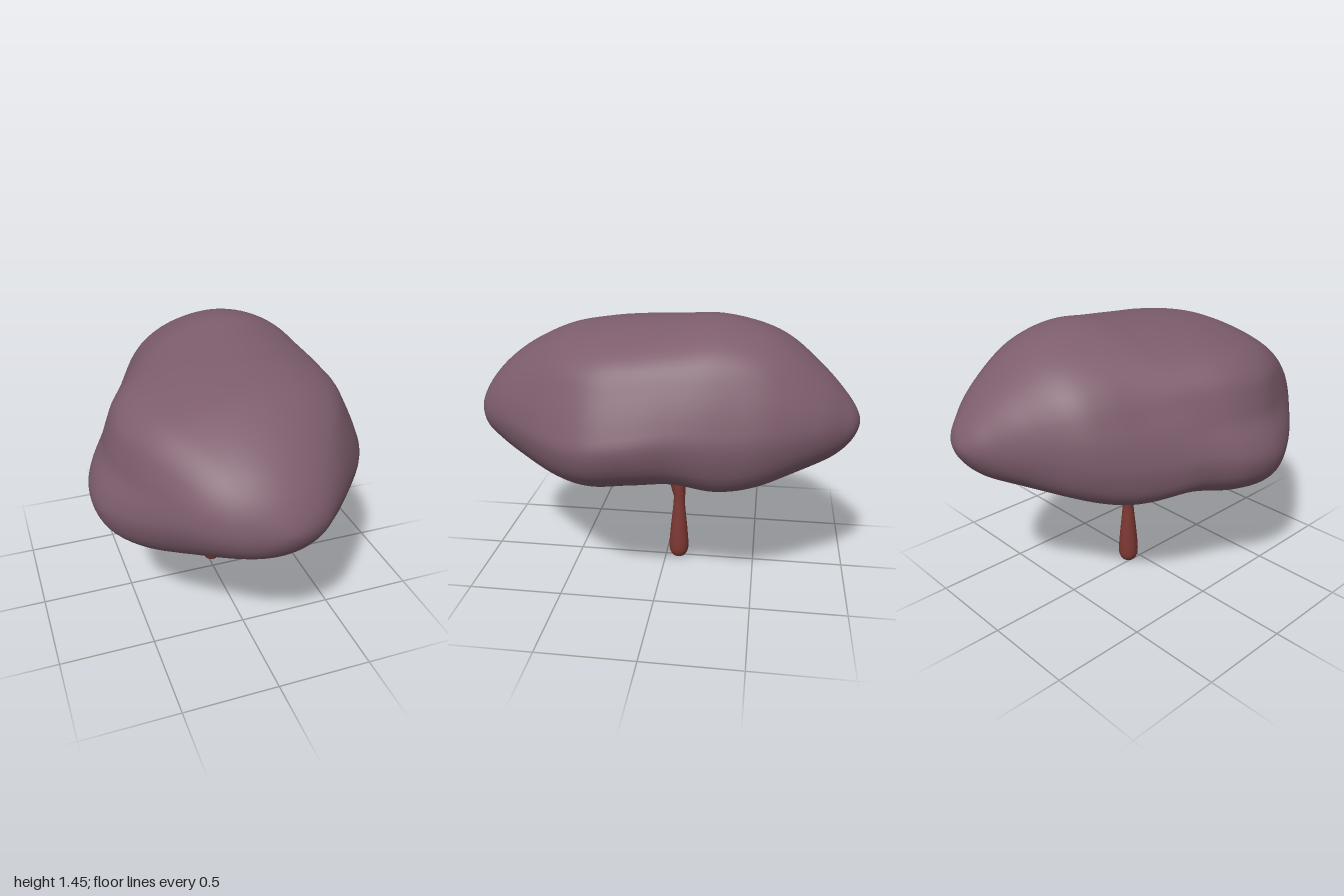
import * as THREE from 'three';
import { mergeVertices } from 'three/addons/utils/BufferGeometryUtils.js';

const { lerp, smoothstep } = THREE.MathUtils;
const leafMaterial = new THREE.MeshStandardMaterial({ color: 0x7d5d6c });
const barkMaterial = new THREE.MeshStandardMaterial({ color: 0x7c3832 });

// Canopy stations from back to front: z, left edge x, right edge x, bottom y, top y
const STATIONS = [
  [-1.0, 0.2, 0.2, 0.95, 0.95], [-0.97, 0.1, 0.31, 0.87, 1.03], [-0.9, 0.0, 0.39, 0.79, 1.12],
  [-0.8, -0.13, 0.475, 0.73, 1.22], [-0.65, -0.31, 0.555, 0.665, 1.34], [-0.5, -0.41, 0.615, 0.625, 1.41],
  [-0.3, -0.5, 0.655, 0.605, 1.447], [-0.1, -0.6, 0.68, 0.62, 1.432], [0.1, -0.7, 0.71, 0.585, 1.415],
  [0.3, -0.715, 0.705, 0.56, 1.395], [0.5, -0.63, 0.61, 0.575, 1.355], [0.7, -0.48, 0.455, 0.63, 1.26],
  [0.85, -0.34, 0.32, 0.7, 1.15], [0.95, -0.18, 0.2, 0.78, 1.03], [1.0, 0.03, 0.03, 0.9, 0.9],
];

// Cross-sections, u across (-1..1) and v up (0..1), counter-clockwise:
// the front one has a groove on one side, the back one is full and flat underneath
const FRONT_SECTION = [
  [1, 0.38], [0.96, 0.51], [0.86, 0.69], [0.76, 0.83], [0.6, 0.92], [0.38, 0.98], [0.13, 1],
  [-0.14, 0.975], [-0.42, 0.92], [-0.65, 0.86], [-0.79, 0.76], [-0.85, 0.63], [-0.89, 0.52],
  [-0.97, 0.39], [-1, 0.27], [-0.94, 0.13], [-0.78, 0.03], [-0.55, 0], [-0.25, 0.02],
  [0, 0.045], [0.35, 0.045], [0.68, 0.09], [0.91, 0.21],
];
const BACK_SECTION = [
  [1, 0.36], [0.96, 0.52], [0.87, 0.69], [0.76, 0.83], [0.6, 0.92], [0.38, 0.98], [0.13, 1],
  [-0.14, 0.975], [-0.42, 0.91], [-0.65, 0.81], [-0.79, 0.7], [-0.88, 0.58], [-0.95, 0.47],
  [-0.99, 0.36], [-1, 0.25], [-0.95, 0.11], [-0.8, 0.025], [-0.55, 0], [-0.25, 0.015],
  [0, 0.025], [0.35, 0.01], [0.68, 0.04], [0.91, 0.15],
];

const spline = (points, closed = false) =>
  new THREE.CatmullRomCurve3(points.map((p) => new THREE.Vector3(...p)), closed, 'catmullrom', 0.5);

// Mirrored stations beyond each tip make the ends close in a round cap
const beyond = ([z, l, r, b, t]) => [z, r, l, t, b];
const PADDED = [beyond(STATIONS[1]), ...STATIONS, beyond(STATIONS.at(-2))];

function createCanopyGeometry() {
  const rows = 98, cols = 96;
  const widths = spline(PADDED.map(([z, l, r]) => [l, r, z]));
  const heights = spline(PADDED.map(([z, , , b, t]) => [b, t, z]));
  const [front, back] = [FRONT_SECTION, BACK_SECTION].map((section) => {
    const curve = spline(section.map(([u, v]) => [u, v, 0]), true);
    return Array.from({ length: cols }, (_, j) => curve.getPoint(j / cols));
  });
  const point = new THREE.Vector3();
  const positions = [], indices = [];
  for (let i = 0; i <= rows; i++) {
    const at = (1 + (i / rows) * (STATIONS.length - 1)) / (PADDED.length - 1);
    const w = widths.getPoint(at), h = heights.getPoint(at);
    const toBack = smoothstep(-w.z, -0.2, 0.35);
    // The section becomes a plain oval towards both ends
    const round = smoothstep(Math.abs(w.z), 0.35, 0.97);
    for (let j = 0; j < cols; j++) {
      point.lerpVectors(front[j], back[j], toBack);
      const a = Math.atan2((point.y - 0.42) / 0.54, point.x);
      const s = lerp(point.x, Math.cos(a), round);
      const t = lerp(point.y, 0.5 + 0.5 * Math.sin(a), round);
      positions.push(lerp(w.x, w.y, (s + 1) / 2), lerp(h.x, h.y, t), w.z);
      if (i < rows) {
        const k = i * cols + j, n = i * cols + ((j + 1) % cols);
        indices.push(k, n, k + cols, n, n + cols, k + cols);
      }
    }
  }
  const geometry = new THREE.BufferGeometry();
  geometry.setAttribute('position', new THREE.Float32BufferAttribute(positions, 3));
  geometry.setIndex(indices);
  const merged = mergeVertices(geometry, 1e-5);
  merged.computeVertexNormals();
  return merged;
}

// Tube whose radius tapers from r0 to r1
function createBranchGeometry(points, r0, r1) {
  const curve = spline(points), segments = 20, sides = 14;
  const geometry = new THREE.TubeGeometry(curve, segments, 1, sides);
  const p = geometry.attributes.position, v = new THREE.Vector3();
  for (let i = 0; i < p.count; i++) {
    const t = Math.floor(i / (sides + 1)) / segments;
    const c = curve.getPointAt(t);
    v.fromBufferAttribute(p, i).sub(c).multiplyScalar(lerp(r0, r1, t)).add(c);
    p.setXYZ(i, v.x, v.y, v.z);
  }
  geometry.computeVertexNormals();
  return geometry;
}

export function createModel() {
  const group = new THREE.Group();
  const add = (name, geometry, material) => {
    const mesh = new THREE.Mesh(geometry, material);
    mesh.name = name;
    group.add(mesh);
    return mesh;
  };

  add('canopy', createCanopyGeometry(), leafMaterial);

  // Trunk swelling near the ground
  const profile = spline([
    [0, 0, 0], [0.028, 0.008, 0], [0.047, 0.03, 0], [0.055, 0.075, 0], [0.048, 0.18, 0],
    [0.037, 0.29, 0], [0.031, 0.37, 0], [0.034, 0.46, 0], [0.033, 0.53, 0], [0.036, 0.66, 0],
  ]).getPoints(45).map((p) => new THREE.Vector2(Math.max(p.x, 0), Math.max(p.y, 0)));
  add('trunk', new THREE.LatheGeometry(profile, 20), barkMaterial).position.set(0.015, 0, -0.075);

  // Branches reaching to the right, the front and the back
  const branches = {
    rightBranch: [[0.015, 0.39, -0.075], [-0.02, 0.48, -0.08], [-0.12, 0.535, -0.1], [-0.28, 0.62, -0.13]],
    frontBranch: [[0.015, 0.4, -0.075], [0.018, 0.485, -0.04], [0.035, 0.54, 0.07], [0.1, 0.63, 0.28]],
    backBranch: [[0.015, 0.48, -0.075], [0.015, 0.56, -0.09], [0.017, 0.595, -0.16], [0.02, 0.645, -0.32]],
  };
  for (const [name, points] of Object.entries(branches)) {
    add(name, createBranchGeometry(points, 0.034, 0.022), barkMaterial);
  }
  return group;
}
